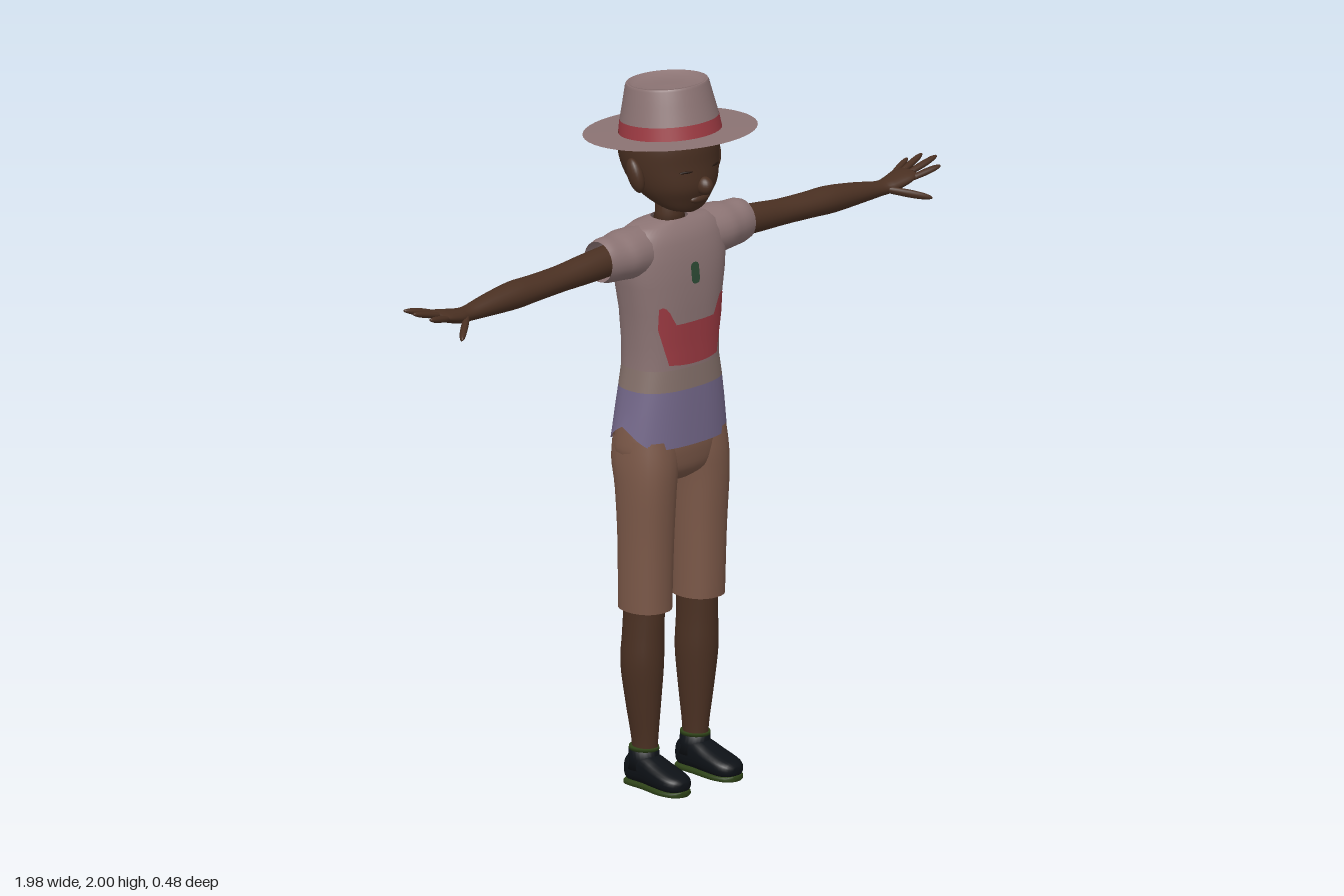
import * as THREE from 'three';

const material = (name, color, side = THREE.FrontSide) => {
  const m = new THREE.MeshStandardMaterial({ color, side });
  m.name = name;
  return m;
};

// Catmull-Rom refinement of a list of sections
function refine(rows, k = 4) {
  const out = [];
  for (let i = 0; i < rows.length - 1; i++) {
    const p = [rows[Math.max(i - 1, 0)], rows[i], rows[i + 1], rows[Math.min(i + 2, rows.length - 1)]];
    for (let s = 0; s < k; s++) {
      const t = s / k;
      out.push(p[1].map((b, c) => {
        const [a, d, e] = [p[0][c], p[2][c], p[3][c]];
        return 0.5 * (2 * b + (d - a) * t + (2 * a - 5 * b + 4 * d - e) * t * t + (3 * b - a - 3 * d + e) * t ** 3);
      }));
    }
  }
  out.push(rows[rows.length - 1]);
  return out;
}

// Skin over rings [x, y, z, radiusA, radiusB] stacked along axis 0=x, 1=y, 2=z.
// radiusA/radiusB: axis x -> z,y   axis y -> x,z   axis z -> y,x
function loft(axis, rows, { n = 24, e = 1, caps = true, warp = null } = {}) {
  const pos = [], idx = [], A = (axis + 2) % 3, B = (axis + 1) % 3;
  const pw = v => Math.sign(v) * Math.abs(v) ** e;
  for (const r of rows) {
    for (let j = 0; j < n; j++) {
      const th = (j / n) * Math.PI * 2, p = r.slice(0, 3);
      p[A] += r[3] * pw(Math.cos(th));
      p[B] += r[4] * pw(Math.sin(th));
      if (warp) warp(p, th);
      pos.push(...p);
    }
  }
  for (let i = 0; i < rows.length - 1; i++) {
    for (let j = 0; j < n; j++) {
      const a = i * n + j, b = i * n + (j + 1) % n;
      idx.push(a, a + n, b, b, a + n, b + n);
    }
  }
  if (caps) {
    const last = (rows.length - 1) * n, c = rows.length * n;
    pos.push(...rows[0].slice(0, 3), ...rows[rows.length - 1].slice(0, 3));
    for (let j = 0; j < n; j++) {
      const k = (j + 1) % n;
      idx.push(c, j, k, c + 1, last + k, last + j);
    }
  }
  const g = new THREE.BufferGeometry();
  g.setAttribute('position', new THREE.Float32BufferAttribute(pos, 3));
  g.setIndex(idx);
  g.computeVertexNormals();
  return g;
}

// Torso profile: y, centre z, half width, half depth
const TORSO = [
  [0.98, -0.006, 0.176, 0.112], [1.03, -0.005, 0.173, 0.11], [1.08, -0.002, 0.165, 0.106],
  [1.14, 0, 0.156, 0.102], [1.2, 0, 0.146, 0.098], [1.26, 0, 0.146, 0.098], [1.36, 0, 0.156, 0.1],
  [1.44, -0.002, 0.172, 0.1], [1.5, -0.005, 0.182, 0.096], [1.55, -0.008, 0.18, 0.088],
  [1.58, -0.008, 0.16, 0.074], [1.598, -0.008, 0.125, 0.058], [1.607, -0.004, 0.05, 0.045]];
const TORSO_E = 0.8;
function torsoAt(y) {
  let i = 0;
  while (i < TORSO.length - 2 && TORSO[i + 1][0] < y) i++;
  const a = TORSO[i], b = TORSO[i + 1], t = (y - a[0]) / (b[0] - a[0]);
  const [, z, rx, rz] = a.map((v, c) => v + (b[c] - v) * t);
  return [0, y, z, rx, rz];
}
const torsoRows = (y0, y1) =>
  [y0, ...TORSO.map(r => r[0]).filter(y => y > y0 + 1e-4 && y < y1 - 1e-4), y1].map(torsoAt);

// Thin printed patch lying on the chest between two height curves
function patch(halfW, top, bottom, nx = 24, ny = 8) {
  const g = new THREE.PlaneGeometry(1, 1, nx, ny), p = g.attributes.position;
  for (let i = 0; i < p.count; i++) {
    const x = p.getX(i) * 2 * halfW, u = x / halfW;
    const y = THREE.MathUtils.lerp(bottom(u), top(u), p.getY(i) + 0.5);
    const [, , cz, rx, rz] = torsoAt(y);
    const z = cz + rz * (1 - Math.abs(x / rx) ** (2 / TORSO_E)) ** (TORSO_E / 2);
    p.setXYZ(i, x, y, z + 0.004);
  }
  g.computeVertexNormals();
  return g;
}

export function createModel() {
  const model = new THREE.Group();
  const skin = material('skin', 0x4a3022);
  const cloth = material('dustyCloth', 0x8c7474, THREE.DoubleSide);
  const sand = material('sandBand', 0x84706a, THREE.DoubleSide);
  const purple = material('purpleHem', 0x74688a, THREE.DoubleSide);
  const brown = material('shortsBrown', 0x7b5848, THREE.DoubleSide);
  const red = material('red', 0x9c3a42, THREE.DoubleSide);
  const green = material('badgeGreen', 0x2c4a34);
  const black = material('shoeBlack', 0x0d1116);
  const olive = material('soleOlive', 0x2e4218);
  const dark = material('lashBrown', 0x24160f);
  const add = (parent, name, geo, mat) => {
    const m = new THREE.Mesh(geo, mat);
    m.name = name;
    parent.add(m);
    return m;
  };
  const ball = (parent, name, mat, p, s) => {
    const m = add(parent, name, new THREE.SphereGeometry(1, 20, 14), mat);
    m.position.set(...p);
    m.scale.set(...s);
    return m;
  };

  // Shirt: hem rises to a notch at each side
  const notch = (p, th) => {
    if (p[1] < 1.0) p[1] += 0.06 * Math.max(0, 1 - Math.abs(Math.sin(th)) * 1.4) ** 1.2;
  };
  const opt = { n: 48, e: TORSO_E, caps: false };
  add(model, 'shirtHem', loft(1, torsoRows(0.98, 1.14).filter(r => r[1] !== 1.03), { ...opt, warp: notch }), purple);
  add(model, 'shirtBand', loft(1, torsoRows(1.14, 1.2), opt), sand);
  add(model, 'shirtBody', loft(1, torsoRows(1.2, 1.607), { ...opt, caps: false }), cloth);
  add(model, 'chestCrescent', patch(0.12,
    u => (Math.abs(u) < 0.6 ? 1.33 : 1.33 + 0.055 * Math.sin((Math.abs(u) - 0.6) / 0.4 * Math.PI * 0.62)),
    u => 1.21 + 0.012 * u * u + 0.1 * Math.max(0, Math.abs(u) - 0.75) / 0.25), red);
  const badgeEnd = u => 0.01 * Math.sqrt(Math.max(0, 1 - u * u));
  add(model, 'chestBadge', patch(0.015, u => 1.485 + badgeEnd(u), u => 1.445 - badgeEnd(u), 8, 4), green);

  // Shorts seat
  add(model, 'shortsSeat', loft(1, refine([
    [0, 0.868, 0, 0.05, 0.05], [0, 0.9, -0.004, 0.135, 0.09], [0, 0.95, -0.007, 0.17, 0.104],
    [0, 1.0, -0.005, 0.17, 0.103], [0, 1.08, -0.002, 0.155, 0.094]]), { n: 32, e: 0.85 }), brown);

  // One side of the body, mirrored for the other
  for (const side of [1, -1]) {
    const half = new THREE.Group();
    half.name = side > 0 ? 'leftLimbs' : 'rightLimbs';
    half.scale.x = side;
    model.add(half);

    add(half, 'sleeve', loft(0, refine([
      [0.09, 1.525, -0.008, 0.07, 0.074], [0.17, 1.532, -0.006, 0.078, 0.069], [0.215, 1.532, -0.002, 0.068, 0.064],
      [0.25, 1.534, 0, 0.06, 0.063], [0.272, 1.534, 0, 0.055, 0.057]]), { caps: false }), cloth);
    add(half, 'arm', loft(0, refine([
      [0.2, 1.533, 0, 0.042, 0.045], [0.32, 1.526, 0, 0.042, 0.041], [0.42, 1.52, 0, 0.041, 0.036],
      [0.52, 1.517, 0.002, 0.043, 0.036], [0.6, 1.515, 0.003, 0.043, 0.038], [0.7, 1.51, 0.005, 0.035, 0.03],
      [0.78, 1.505, 0.008, 0.027, 0.021], [0.82, 1.508, 0.01, 0.034, 0.02],
      [0.87, 1.519, 0.008, 0.042, 0.017], [0.897, 1.526, 0.008, 0.036, 0.01]])), skin);

    // Fingers and thumb: base, tip, radius
    const fingers = [
      [[0.87, 1.522, -0.024], [0.945, 1.54, -0.048], 0.010], [[0.88, 1.525, -0.006], [0.98, 1.55, -0.028], 0.011],
      [[0.88, 1.525, 0.016], [0.99, 1.553, 0.018], 0.011], [[0.87, 1.518, 0.036], [0.965, 1.54, 0.058], 0.011],
      [[0.79, 1.505, 0.022], [0.89, 1.477, 0.102], 0.014]];
    fingers.forEach(([a, b, r], i) => {
      const rows = [[0, 0.8], [0.5, 1], [0.85, 0.8], [1, 0.35]].map(([t, k]) =>
        [...a.map((v, c) => v + (b[c] - v) * t), r * k, r * k * 0.85]);
      add(half, i < 4 ? 'finger' : 'thumb', loft(0, refine(rows, 2), { n: 10 }), skin);
    });

    add(half, 'shortsLeg', loft(1, refine([
      [0.1, 0.51, 0.005, 0.067, 0.076], [0.1, 0.7, 0.008, 0.07, 0.079], [0.1, 0.85, 0.008, 0.075, 0.088],
      [0.095, 0.93, 0, 0.08, 0.098], [0.09, 1.0, -0.003, 0.078, 0.095]]), { e: 0.9, caps: false }), brown);
    add(half, 'lowerLeg', loft(1, refine([
      [0.096, 0.06, 0, 0.032, 0.036], [0.096, 0.13, 0, 0.033, 0.04], [0.1, 0.24, -0.002, 0.046, 0.052],
      [0.103, 0.35, -0.003, 0.057, 0.062], [0.102, 0.44, 0, 0.054, 0.061], [0.1, 0.52, 0.002, 0.052, 0.062],
      [0.1, 0.62, 0.004, 0.055, 0.064]])), skin);

    // Shoe with sole and collar
    add(half, 'shoeUpper', loft(2, refine([
      [0.097, 0.045, -0.05, 0.025, 0.026], [0.097, 0.05, -0.035, 0.042, 0.04], [0.097, 0.052, 0.02, 0.044, 0.042],
      [0.098, 0.043, 0.07, 0.035, 0.046], [0.099, 0.035, 0.12, 0.027, 0.046], [0.099, 0.032, 0.148, 0.02, 0.034],
      [0.099, 0.03, 0.16, 0.01, 0.014]], 3), { e: 0.75 }), black);
    add(half, 'shoeCollar', loft(1, [
      [0.097, 0.05, -0.005, 0.045, 0.046], [0.097, 0.08, -0.003, 0.041, 0.045], [0.097, 0.108, -0.002, 0.039, 0.043]]), black);
    add(half, 'shoeTrim', loft(1, [[0.097, 0.104, -0.002, 0.04, 0.044], [0.097, 0.113, -0.002, 0.039, 0.043]]), olive);
    add(half, 'shoeSole', loft(2, refine([
      [0.097, 0.009, -0.052, 0.008, 0.024], [0.097, 0.009, -0.035, 0.009, 0.042], [0.097, 0.009, 0.03, 0.009, 0.043],
      [0.099, 0.009, 0.1, 0.009, 0.048], [0.099, 0.009, 0.145, 0.009, 0.036], [0.099, 0.01, 0.161, 0.008, 0.014]], 3),
      { e: 0.5 }), olive);

    // Ear and closed eye
    ball(half, 'ear', skin, [0.143, 1.755, 0.012], [0.02, 0.05, 0.03]).rotation.set(-0.2, 0.3, -0.15);
    ball(half, 'eyelid', dark, [0.055, 1.768, 0.119], [0.02, 0.0035, 0.004]).rotation.y = 0.35;
  }

  // Neck and head
  add(model, 'neck', loft(1, [
    [0, 1.585, -0.004, 0.048, 0.046], [0, 1.62, -0.002, 0.04, 0.039], [0, 1.71, -0.004, 0.042, 0.042]]), skin);
  add(model, 'head', loft(1, refine([
    [0, 1.638, 0.07, 0.022, 0.02], [0, 1.65, 0.055, 0.062, 0.048], [0, 1.68, 0.028, 0.096, 0.09],
    [0, 1.72, 0.01, 0.122, 0.123], [0, 1.78, -0.004, 0.139, 0.135], [0, 1.84, -0.006, 0.141, 0.136],
    [0, 1.89, -0.006, 0.122, 0.118], [0, 1.93, -0.006, 0.07, 0.07]]), { n: 36 }), skin);
  ball(model, 'nose', skin, [0, 1.722, 0.134], [0.022, 0.026, 0.026]);
  ball(model, 'lips', skin, [0, 1.682, 0.114], [0.034, 0.013, 0.013]);

  // Hat, tipped slightly back
  const hat = new THREE.Group();
  hat.name = 'hat';
  hat.position.set(0, 1.852, 0);
  hat.rotation.x = -0.09;
  model.add(hat);
  const lathe = pts => new THREE.LatheGeometry(pts.map(p => new THREE.Vector2(...p)), 48);
  add(hat, 'hatBrim', lathe([[0.239, 0], [0.136, 0.001]]), cloth);
  add(hat, 'hatBand', lathe([[0.142, 0], [0.136, 0.038]]), red);
  add(hat, 'hatCrown', lathe([[0.136, 0.036], [0.124, 0.09], [0.115, 0.132], [0.112, 0.138]]), cloth);
  add(hat, 'hatTop', lathe([[0.112, 0.138], [0.106, 0.139], [0.095, 0.128], [0.05, 0.124], [0, 0.126]]), cloth);
  return model;
}
